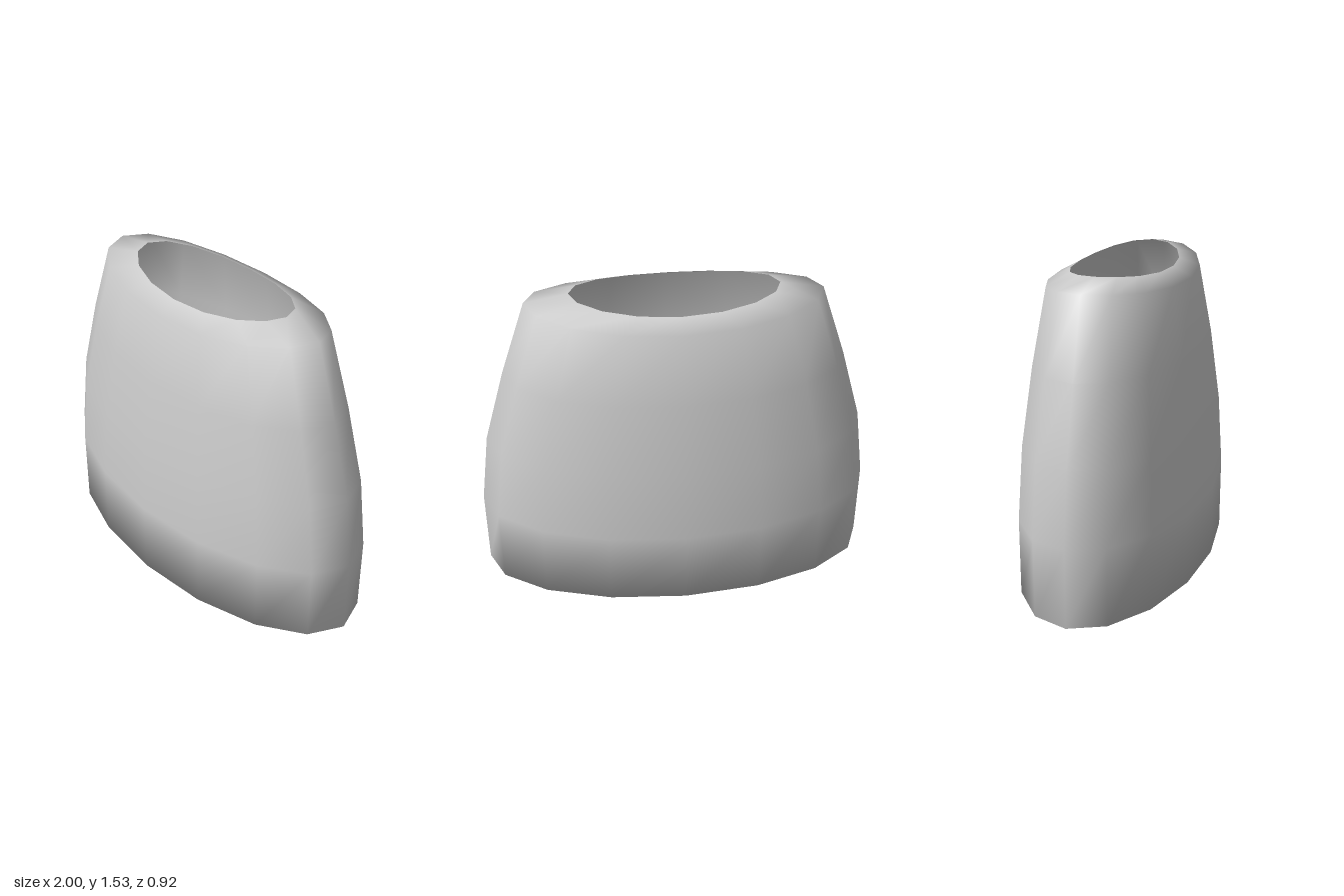
import * as THREE from 'three';

const SIDES = 16;

// Elliptical rings from base to opening: half width, half depth,
// height at the front and back, height at the two ends
const RINGS = [
  [0.995, 0.458, 0, 0],
  [1.0, 0.46, 0.37, 0.39],
  [0.955, 0.44, 0.73, 0.75],
  [0.85, 0.395, 1.1, 1.12],
  [0.725, 0.335, 1.445, 1.49],
  [0.51, 0.24, 1.495, 1.528],
];

function shellGeometry() {
  const positions = [];
  const index = [];

  // Each ring dips slightly at the middle, like a shallow saddle
  for (const [rx, rz, yMid, yEnd] of RINGS) {
    for (let i = 0; i < SIDES; i++) {
      const a = (i / SIDES) * Math.PI * 2;
      const c = Math.cos(a);
      positions.push(rx * c, yMid + (yEnd - yMid) * c * c, rz * Math.sin(a));
    }
  }

  // Walls and shoulder
  for (let r = 0; r < RINGS.length - 1; r++) {
    for (let i = 0; i < SIDES; i++) {
      const j = (i + 1) % SIDES;
      const a = r * SIDES + i, b = r * SIDES + j;
      const c = a + SIDES, d = b + SIDES;
      index.push(a, c, b, b, c, d);
    }
  }

  // Flat base, closed by strips running front to back
  for (let i = 0; i < SIDES / 2; i++) {
    const a = i, b = i + 1;
    const c = (SIDES - i) % SIDES, d = SIDES - i - 1;
    if (a !== c) index.push(a, b, c);
    if (b !== d) index.push(b, d, c);
  }

  const geometry = new THREE.BufferGeometry();
  geometry.setAttribute('position', new THREE.Float32BufferAttribute(positions, 3));
  geometry.setIndex(index);
  geometry.computeVertexNormals();
  return geometry;
}

export function createModel() {
  const group = new THREE.Group();
  group.name = 'openToppedShell';

  // Hollow body with an open top, so both faces show
  const material = new THREE.MeshStandardMaterial({ color: 0xcccccc, side: THREE.DoubleSide });
  const shell = new THREE.Mesh(shellGeometry(), material);
  shell.name = 'shell';
  group.add(shell);
  return group;
}
